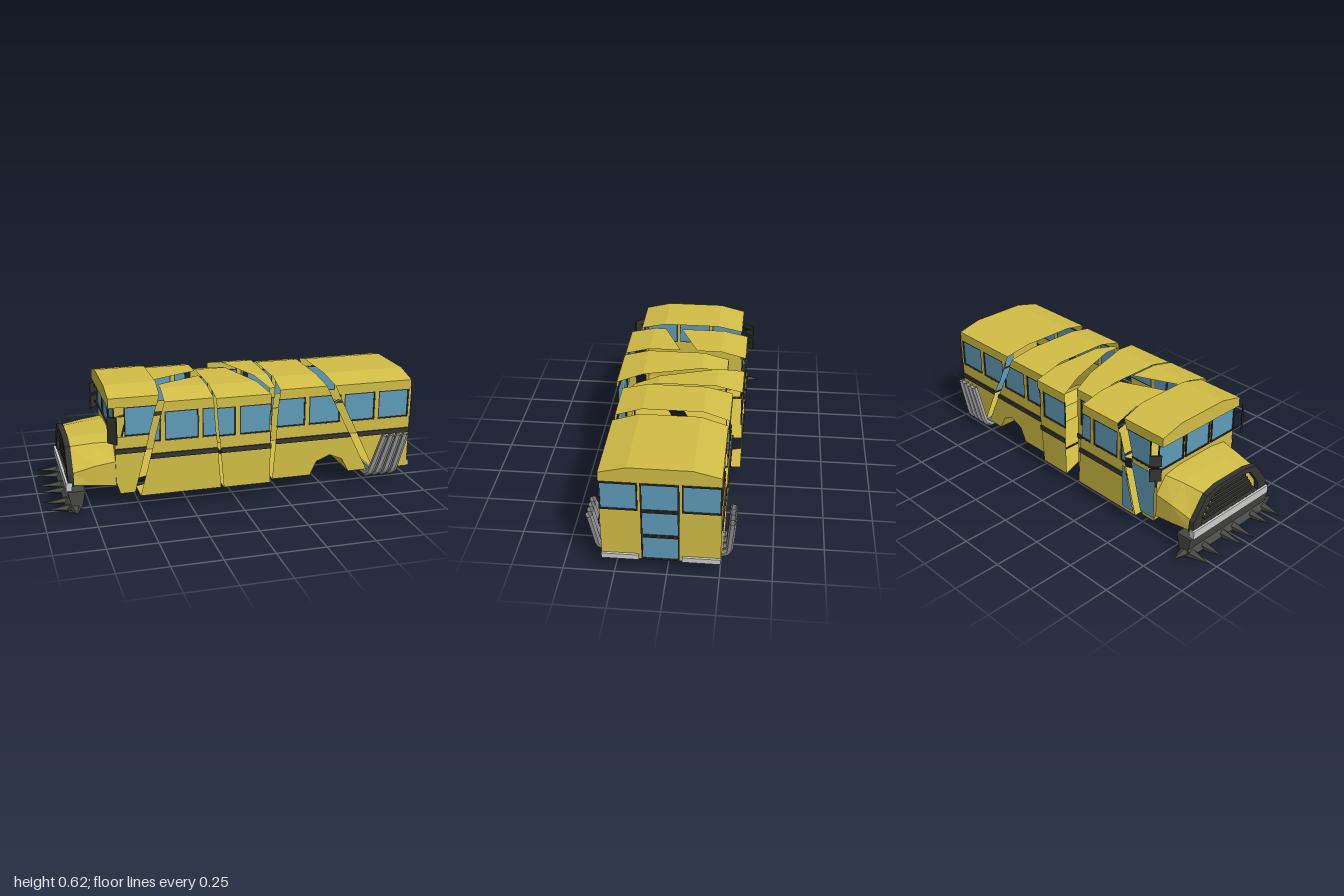
import * as THREE from 'three';

const mat = (color) => new THREE.MeshStandardMaterial({ color, flatShading: true, side: THREE.DoubleSide });
const MATS = { body: mat(0xd2be46), glass: mat(0x5f9cba), trim: mat(0x34342f), steel: mat(0x9a9a9a), chrome: mat(0xbdbdbd), spike: mat(0x484846) };
const W = 0.283, BACK = 0.98, FRONT = -0.62;

// Flat-shaded geometry from a list of convex polygons
function polysToGeometry(polys) {
  const pos = [];
  for (const p of polys)
    for (let i = 1; i < p.length - 1; i++) pos.push(...p[0], ...p[i], ...p[i + 1]);
  const g = new THREE.BufferGeometry();
  g.setAttribute('position', new THREE.Float32BufferAttribute(pos, 3));
  g.computeVertexNormals();
  return g;
}

// Keep the part of a polygon where the linear function f is positive
function clip(poly, f) {
  const out = [];
  poly.forEach((a, i) => {
    const b = poly[(i + 1) % poly.length], fa = f(a), fb = f(b);
    if (fa >= 0) out.push(a);
    if ((fa >= 0) !== (fb >= 0)) out.push(a.map((v, k) => v + (b[k] - v) * fa / (fa - fb)));
  });
  return out;
}

// Slanted cuts: across the bus (bottom x, top x) and seen from above (two x,z points)
const across = (s, xb, xt) => ([x, y]) => s * (x - xb - (xt - xb) * (y - 0.07) / 0.53);
const along = (s, x0, z0, x1, z1) => ([x, , z]) => s * ((z - z0) * (x1 - x0) - (z1 - z0) * (x - x0));

// Panels of the whole, uncut bus
function busPanels() {
  const panels = [];
  const add = (c, ...pts) => panels.push([c, pts]);
  const box = (c, x0, x1, y0, y1, z0, z1) => {
    for (const x of [x0, x1]) add(c, [x, y0, z0], [x, y1, z0], [x, y1, z1], [x, y0, z1]);
    for (const y of [y0, y1]) add(c, [x0, y, z0], [x1, y, z0], [x1, y, z1], [x0, y, z1]);
    for (const z of [z0, z1]) add(c, [x0, y0, z], [x1, y0, z], [x1, y1, z], [x0, y1, z]);
  };
  const wall = (c, x0, x1, y0, y1, z) => add(c, [x0, y0, z], [x1, y0, z], [x1, y1, z], [x0, y1, z]);
  const end = (c, x, y0, y1, z0, z1) => add(c, [x, y0, z0], [x, y1, z0], [x, y1, z1], [x, y0, z1]);

  // Lower walls and floor follow the wheel arch
  const low = [[FRONT, 0.12], [-0.6, 0.075], [0.42, 0.075], [0.455, 0.15], [0.53, 0.18], [0.6, 0.15], [0.64, 0.075], [BACK, 0.075]];
  for (let i = 0; i < low.length - 1; i++) {
    const [x0, y0] = low[i], [x1, y1] = low[i + 1];
    add('body', [x0, y0, -W], [x1, y1, -W], [x1, y1, W], [x0, y0, W]);
    for (const z of [-W, W]) add('body', [x0, y0, z], [x1, y1, z], [x1, 0.36, z], [x0, 0.36, z]);
  }
  // Side windows, posts, rub rails and eaves
  for (const s of [-1, 1]) {
    const z = s * W, zi = s * (W - 0.007), zf = s * (W - 0.001);
    box('trim', FRONT, BACK, 0.272, 0.298, z, s * (W + 0.008));
    wall('body', FRONT, BACK, 0.515, 0.565, z);
    wall('body', -0.65, FRONT, 0.515, 0.565, z);
    for (let i = 0; i < 8; i++) {
      const x1 = 0.97 - i * 0.195, x0 = Math.max(x1 - 0.175, FRONT + 0.01);
      wall('glass', x0, x1, 0.36, 0.515, zi);
      box('body', x1, x1 + (i ? 0.02 : 0.01), 0.36, 0.515, zi, z);
      for (const [a, b] of [[x0, x0 + 0.006], [x1 - 0.006, x1]]) box('trim', a, b, 0.36, 0.515, zi, zf);
      for (const y of [0.36, 0.509]) box('trim', x0, x1, y, y + 0.006, zi, zf);
    }
  }
  // Entry door glass
  wall('glass', -0.61, -0.42, 0.1, 0.345, -W - 0.009);
  // Faceted roof with closed ends
  const roof = [[W, 0.565], [0.15, 0.598], [-0.15, 0.598], [-W, 0.565]];
  for (let i = 0; i < 3; i++) {
    const [z0, y0] = roof[i], [z1, y1] = roof[i + 1];
    add('body', [-0.65, y0, z0], [BACK, y0, z0], [BACK, y1, z1], [-0.65, y1, z1]);
  }
  for (const x of [-0.65, BACK]) add('body', ...[[W, 0.515], ...roof, [-W, 0.515]].map(([z, y]) => [x, y, z]));
  add('body', [-0.65, 0.515, -W], [FRONT, 0.515, -W], [FRONT, 0.515, W], [-0.65, 0.515, W]);

  // Framed panes on the back and front walls
  const pane = (x, dir, y0, y1, z0, z1) => {
    end('glass', x, y0, y1, z0, z1);
    const a = x, b = x + dir * 0.006, t = 0.007;
    box('trim', a, b, y0, y0 + t, z0, z1);
    box('trim', a, b, y1 - t, y1, z0, z1);
    box('trim', a, b, y0, y1, z0, z0 + t);
    box('trim', a, b, y0, y1, z1 - t, z1);
  };
  for (const [z0, z1] of [[-W, -0.1], [-0.088, 0.092], [0.104, W]]) {
    pane(BACK, 1, 0.363, 0.517, z0, z1);
    pane(FRONT, -1, 0.36, 0.515, z0, z1);
  }
  pane(BACK, 1, 0.218, 0.36, -0.088, 0.092);
  pane(BACK, 1, 0.077, 0.216, -0.088, 0.092);
  for (const [z0, z1] of [[-0.1, -0.088], [0.092, 0.104]]) {
    end('body', BACK, 0.075, 0.517, z0, z1);
    end('body', FRONT, 0.36, 0.517, z0, z1);
  }
  for (const [z0, z1] of [[-W, -0.1], [0.104, W]]) {
    end('body', BACK, 0.075, 0.363, z0, z1);
    box('chrome', BACK, 0.992, 0.077, 0.104, z0, z1);
  }
  end('body', FRONT, 0.12, 0.36, -W, W);
  return panels;
}

export function createModel() {
  const model = new THREE.Group();
  const add = (name, geo, m, parent = model) => {
    const mesh = new THREE.Mesh(geo, MATS[m]);
    mesh.name = name;
    parent.add(mesh);
    return mesh;
  };

  // Sliced and shifted body sections
  const panels = busPanels();
  const bLeft = across(1, -0.507, -0.367), bRight = across(-1, -0.082, -0.125);
  const sections = [
    ['frontSection', 0.02, 0.005, [across(-1, -0.525, -0.385)]],
    ['secondSectionRight', 0, -0.028, [bLeft, bRight, along(-1, -0.37, 0.06, -0.12, -0.05)]],
    ['secondSectionLeft', 0, 0.06, [bLeft, bRight, along(1, -0.37, 0.15, -0.12, 0.04)]],
    ['thirdSectionFront', -0.004, 0.063, [across(1, -0.068, -0.113), across(-1, 0.197, 0.235), along(1, 0.015, -0.23, 0.18, 0.34)]],
    ['thirdSectionRear', 0, -0.027, [across(-1, 0.197, 0.235), along(-1, 0.015, -0.31, 0.2, 0.25)]],
    ['fourthSection', 0, 0.022, [across(1, 0.208, 0.247), across(-1, 0.748, 0.485)]],
    ['rearSection', 0, 0.028, [across(1, 0.785, 0.53)]],
  ];
  for (const [name, dy, dz, cuts] of sections) {
    const group = new THREE.Group();
    group.name = name;
    model.add(group);
    const byPart = {};
    for (const [part, pts] of panels) {
      let poly = pts.map(([x, y, z]) => [x, y > 0.1 ? y + dy : y, z + dz]);
      for (const f of cuts) poly = clip(poly, f);
      if (poly.length > 2) (byPart[part] ??= []).push(poly);
    }
    for (const part in byPart) add(name + '_' + part, polysToGeometry(byPart[part]), part, group);
  }

  // Hood lofted from the cowl to the nose
  const ring = (x, half) => [...half, ...half.slice().reverse().map(([z, y]) => [-z, y])].map(([z, y]) => [x, y, z]);
  const nose = [[0.27, 0.14], [0.265, 0.2], [0.18, 0.315], [0.1, 0.335]];
  const rings = [
    ring(FRONT, [[0.283, 0.12], [0.283, 0.25], [0.22, 0.335], [0.12, 0.352]]),
    ring(-0.72, [[0.28, 0.13], [0.28, 0.235], [0.2, 0.33], [0.11, 0.347]]),
    ring(-0.84, nose),
  ];
  const hood = [rings[2]];
  for (let k = 0; k < 2; k++)
    rings[k].forEach((p, i) => {
      const j = (i + 1) % 8;
      hood.push([p, rings[k][j], rings[k + 1][j], rings[k + 1][i]]);
    });
  add('hood', polysToGeometry(hood), 'body');

  // Grille surround and bars
  const outline = (k) => nose.map(([z, y]) => [z * k, 0.235 + (y - 0.235) * k]);
  const loop = (k) => ring(0, outline(k)).map(([, y, z]) => new THREE.Vector2(z, y));
  const surround = new THREE.Shape(loop(1.04));
  surround.holes.push(new THREE.Path(loop(0.8)));
  const sg = new THREE.ExtrudeGeometry(surround, { depth: 0.03, bevelEnabled: false });
  add('grilleSurround', sg.rotateY(-Math.PI / 2).translate(-0.833, 0, 0), 'trim');
  for (let i = 0; i < 5; i++)
    add('grilleBar', new THREE.BoxGeometry(0.015, 0.013, 0.38 - i * 0.035), 'trim').position.set(-0.847, 0.18 + i * 0.027, 0);

  // Front bumper, ram and spikes
  add('frontBumper', new THREE.BoxGeometry(0.03, 0.045, 0.57), 'chrome').position.set(-0.86, 0.135, 0);
  const ram = new THREE.Shape([[-0.87, 0.115], [-0.78, 0.115], [-0.8, 0.02], [-0.86, 0.003], [-0.88, 0.02], [-0.855, 0.045]].map((p) => new THREE.Vector2(...p)));
  add('ram', new THREE.ExtrudeGeometry(ram, { depth: 0.6, bevelEnabled: false }).translate(0, 0, -0.3), 'spike');
  for (const [z, tip] of [[-0.28, -0.98], [-0.19, -0.985], [-0.05, -1], [0.035, -1], [0.18, -0.985], [0.275, -0.98]]) {
    const len = -0.85 - tip;
    const s = add('spike', new THREE.ConeGeometry(0.033, len, 5), 'spike');
    s.rotation.z = Math.PI / 2;
    s.scale.x = 0.65;
    s.position.set(-0.85 - len / 2, 0.022, z);
  }
  for (const s of [-1, 1]) {
    const c = add('sideSpike', new THREE.ConeGeometry(0.032, 0.09, 5), 'spike');
    c.rotation.x = s * Math.PI / 2;
    c.scale.z = 0.65;
    c.position.set(-0.835, 0.025, s * 0.335);
  }

  // Exhaust pipes wrap under the rear section
  const path = [[0.07, 0.285, 0.37], [0.01, 0.08, 0.345], [0, 0.056, 0.322], [0, 0.056, -0.266], [0.01, 0.08, -0.289], [0.07, 0.285, -0.305]];
  for (let i = 0; i < 4; i++) {
    const pts = path.map(([x, y, z]) => new THREE.Vector3(0.745 + i * 0.045 + x * (1 - i * 0.08), y, z));
    const curve = new THREE.CurvePath();
    for (let k = 0; k < pts.length - 1; k++) curve.add(new THREE.LineCurve3(pts[k], pts[k + 1]));
    add('exhaustPipe', new THREE.TubeGeometry(curve, 60, 0.018, 6), 'steel');
  }

  // Mirrors on short arms, the right one broken in two
  const mirror = (z, y, h, turn) => {
    const m = add('mirror', new THREE.BoxGeometry(0.008, h, 0.06), 'trim');
    m.position.set(-0.64, y, z);
    m.rotation.y = turn;
  };
  mirror(0.335, 0.435, 0.14, 0.7);
  mirror(-0.315, 0.47, 0.06, -0.7);
  mirror(-0.315, 0.39, 0.07, -0.7);
  for (const s of [-1, 1])
    for (const y of [0.39, 0.48])
      add('mirrorArm', new THREE.BoxGeometry(0.006, 0.006, 0.05), 'trim').position.set(-0.63, y, s * 0.3);
  return model;
}
